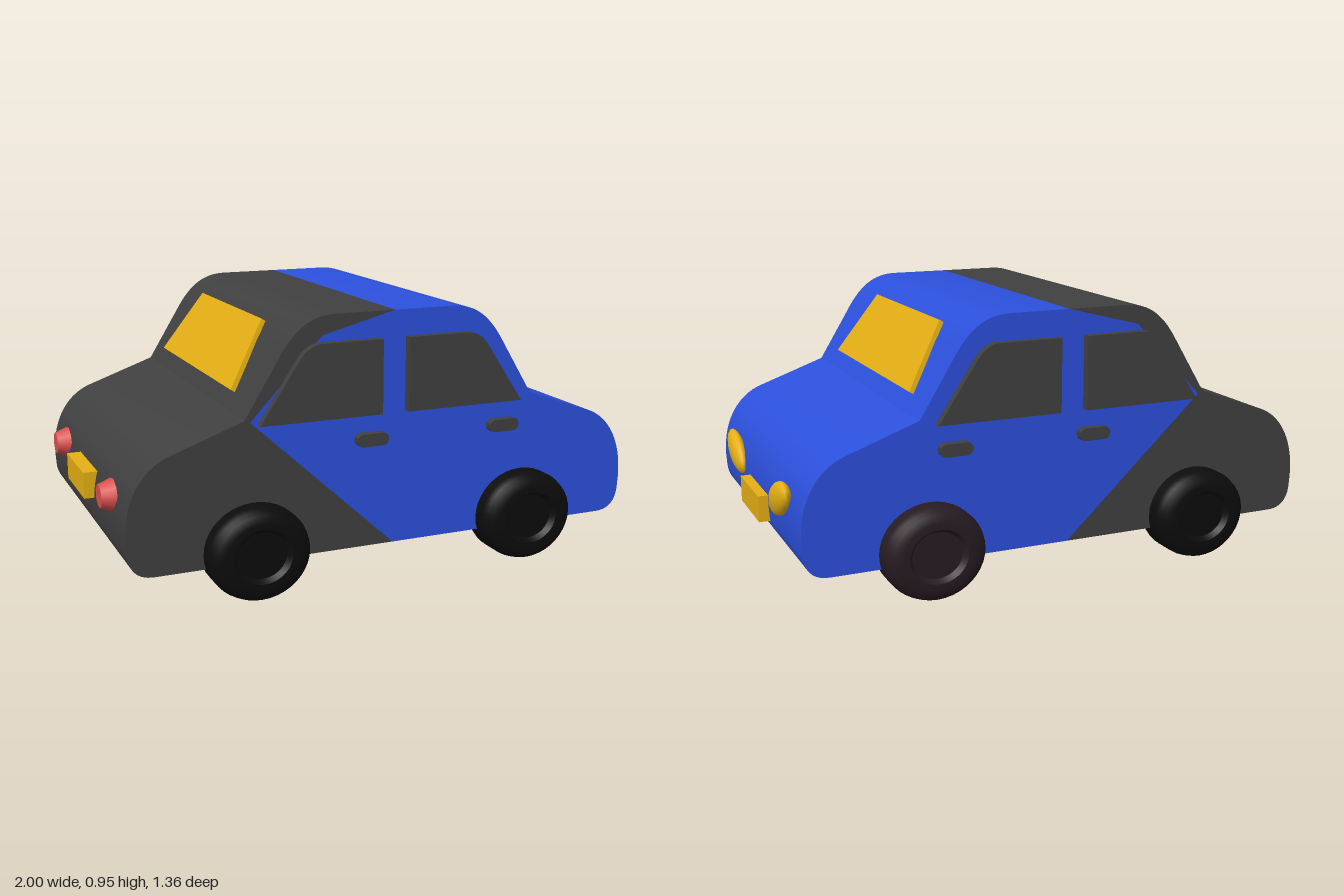
import * as THREE from 'three';
import { toCreasedNormals } from 'three/addons/utils/BufferGeometryUtils.js';

const paint = (color) => new THREE.MeshStandardMaterial({ color });
const BLUE = paint(0x2c50dc), DARK = paint(0x404040), YELLOW = paint(0xe6b014);
const RED = paint(0xd9504f), TYRE = paint(0x0c0c0c), BROWN_TYRE = paint(0x261b21);
const SIDE = 0.587; // half width of the body

function add(parent, name, geometry, material, x = 0, y = 0, z = 0) {
  const mesh = new THREE.Mesh(geometry, material);
  mesh.name = name;
  mesh.position.set(x, y, z);
  parent.add(mesh);
  return mesh;
}

function extrude(shape, depth) {
  const g = new THREE.ExtrudeGeometry(shape, { depth, bevelEnabled: false, curveSegments: 14 });
  return toCreasedNormals(g, 0.6);
}

// Half of the side outline, from the sill centre round one end to the roof centre
function halfOutline(s) {
  const p = new THREE.Shape();
  p.moveTo(0, 0.12);
  p.lineTo(s * 0.87, 0.12);
  p.quadraticCurveTo(s * 0.96, 0.12, s * 0.962, 0.22);
  p.bezierCurveTo(s * 0.975, 0.35, s * 0.93, 0.475, s * 0.82, 0.522);
  p.lineTo(s * 0.55, 0.618);
  p.lineTo(s * 0.42, 0.83);
  p.bezierCurveTo(s * 0.36, 0.925, s * 0.3, 0.955, s * 0.22, 0.955);
  p.lineTo(0, 0.955);
  return p;
}

function roundedBar(w, h) {
  const s = new THREE.Shape(), r = h / 2, a = w / 2 - r;
  s.absarc(a, 0, r, -Math.PI / 2, Math.PI / 2);
  s.absarc(-a, 0, r, Math.PI / 2, Math.PI * 1.5);
  return s;
}

// Side window: upright edge at a, sloping edge ending at b on the belt line
function windowShape(a, b, s) {
  const p = new THREE.Shape();
  p.moveTo(a, 0.6);
  p.lineTo(b, 0.6);
  p.lineTo(b - s * 0.14, 0.81);
  p.quadraticCurveTo(b - s * 0.175, 0.862, b - s * 0.225, 0.862);
  p.lineTo(a, 0.862);
  p.closePath();
  return p;
}

// Tyre with rounded shoulders and a sunken hub, axis along z
function wheelGeometry() {
  const pts = [[0, -0.075], [0.09, -0.075], [0.105, -0.094], [0.13, -0.094], [0.16, -0.085],
    [0.175, -0.07], [0.182, -0.045], [0.182, 0.045], [0.175, 0.07], [0.16, 0.085],
    [0.13, 0.094], [0.105, 0.094], [0.09, 0.075], [0, 0.075]];
  const g = new THREE.LatheGeometry(pts.map(([r, y]) => new THREE.Vector2(r, y)), 40);
  g.rotateX(Math.PI / 2);
  g.scale(1, 0.91, 1);
  return toCreasedNormals(g, 0.7);
}

export function createModel() {
  const car = new THREE.Group();
  car.name = 'car';

  // Body: the blue half reaches back over the rear door, the dark half fills the rest
  const front = halfOutline(1), rear = halfOutline(-1);
  const seam = [[-0.27, 0.885], [-0.53, 0.61]];
  seam.forEach(([x, y]) => { front.lineTo(x, y); rear.lineTo(x, y); });
  front.closePath();
  rear.closePath();
  add(car, 'frontBody', extrude(front, SIDE * 2), BLUE, 0, 0, -SIDE);
  add(car, 'rearBody', extrude(rear, SIDE * 2), DARK, 0, 0, -SIDE);

  // Side windows and door handles
  for (const side of [1, -1]) {
    const z = side > 0 ? SIDE - 0.005 : -SIDE - 0.03;
    add(car, 'frontSideWindow', extrude(windowShape(0.042, 0.495, 1), 0.035), DARK, 0, 0, z);
    add(car, 'rearSideWindow', extrude(windowShape(-0.057, -0.505, -1), 0.035), DARK, 0, 0, z);
    for (const x of [0.43, -0.092]) {
      add(car, 'doorHandle', extrude(roundedBar(0.118, 0.045), 0.035), DARK, x, 0.512, z);
    }
  }

  // Windscreens: trapezoid plates leaning on the cabin slopes
  const glass = new THREE.Shape();
  glass.moveTo(-0.42, 0);
  glass.lineTo(0.42, 0);
  glass.lineTo(0.34, 0.268);
  glass.lineTo(-0.34, 0.268);
  glass.closePath();
  for (const s of [1, -1]) {
    const pivot = new THREE.Group();
    pivot.name = s > 0 ? 'windscreen' : 'rearWindscreen';
    pivot.position.set(s * 0.518, 0.674, -0.02);
    pivot.rotation.y = s * Math.PI / 2;
    car.add(pivot);
    add(pivot, 'glass', extrude(glass, 0.018), YELLOW).rotation.x = -0.57;
  }

  // Wheels
  const wheel = wheelGeometry();
  for (const x of [0.52, -0.52]) {
    for (const z of [0.585, -0.585]) {
      add(car, 'wheel', wheel, x > 0 && z < 0 ? BROWN_TYRE : TYRE, x, 0.168, z);
    }
  }

  // Headlights and tail lights
  const lamp = new THREE.SphereGeometry(1, 14, 9);
  const tail = new THREE.CylinderGeometry(0.045, 0.066, 0.05, 9);
  tail.rotateZ(Math.PI / 2);
  tail.scale(1, 0.9, 1);
  for (const s of [1, -1]) {
    const head = add(car, 'headlight', lamp, YELLOW, 0.968, 0.33, s * 0.332);
    head.scale.set(0.03, 0.058, 0.122);
    head.rotation.x = -s * 0.42;
    add(car, 'tailLight', tail, RED, -0.975, 0.355, s * 0.37 + 0.012);
  }

  // Number plates
  add(car, 'frontPlate', new THREE.BoxGeometry(0.06, 0.096, 0.28), YELLOW, 0.97, 0.237, 0);
  add(car, 'rearPlate', new THREE.BoxGeometry(0.06, 0.096, 0.28), YELLOW, -0.97, 0.322, 0);

  return car;
}
